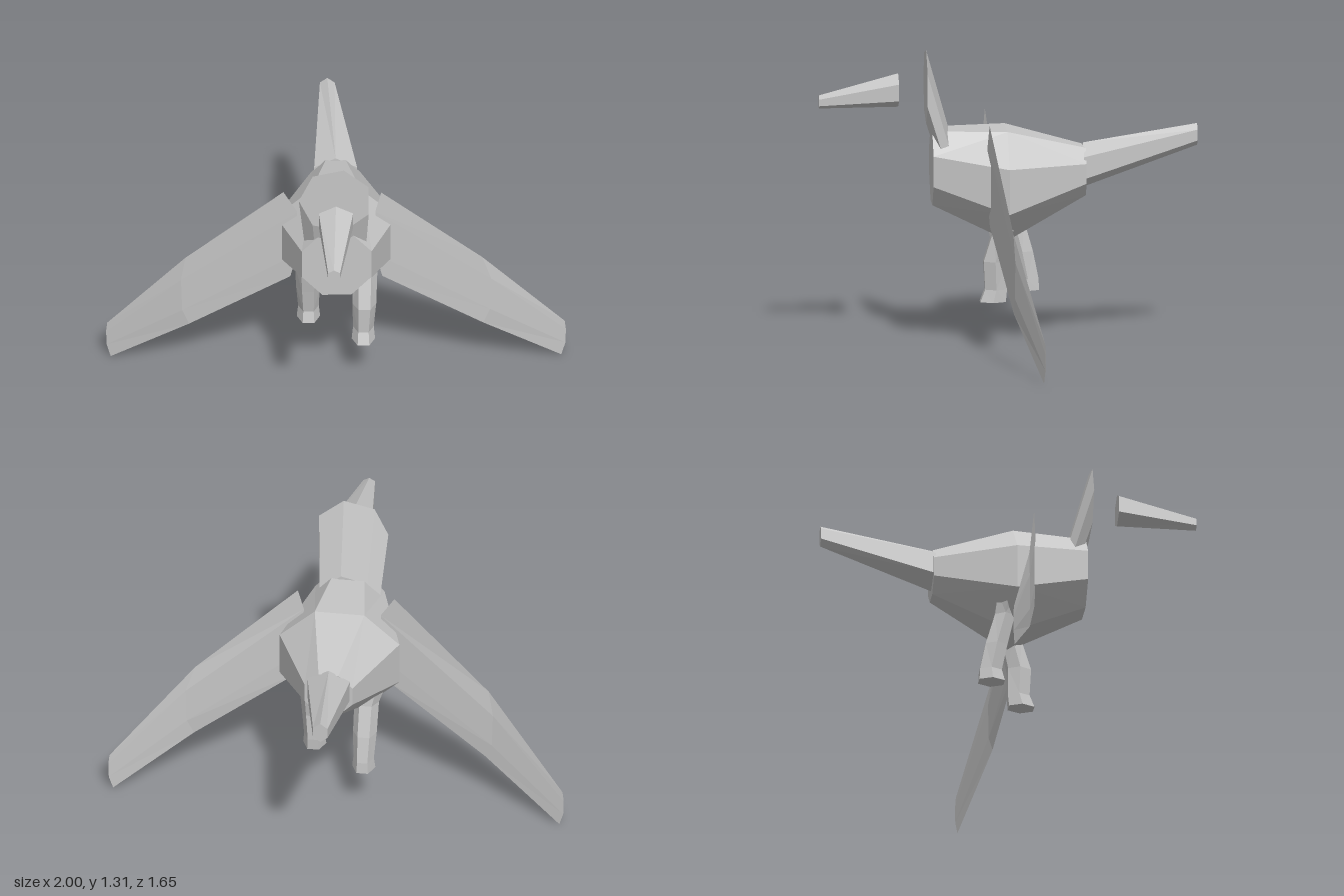
import * as THREE from 'three';

const grey = new THREE.MeshStandardMaterial({ color: 0xc6c6c6, flatShading: true });
grey.name = 'grey';

// Closed low-poly solid through a series of rings with equal point counts
function loft(name, rings) {
  const tris = [];
  const n = rings[0].length;
  for (let r = 0; r < rings.length - 1; r++) {
    for (let i = 0; i < n; i++) {
      const j = (i + 1) % n;
      const a = rings[r][i], b = rings[r][j], c = rings[r + 1][j], d = rings[r + 1][i];
      // Split along the shorter diagonal so that opposite faces of thin parts match
      if (a.distanceTo(c) < b.distanceTo(d)) tris.push([a, b, c], [a, c, d]);
      else tris.push([a, b, d], [b, c, d]);
    }
  }
  const first = rings[0], last = rings[rings.length - 1];
  for (let i = 1; i < n - 1; i++) {
    tris.push([first[0], first[i + 1], first[i]], [last[0], last[i], last[i + 1]]);
  }
  // Turn the faces outwards if the enclosed volume is negative
  const cross = new THREE.Vector3();
  const volume = tris.reduce((sum, [a, b, c]) => sum + a.dot(cross.crossVectors(b, c)), 0);
  const points = tris.flatMap(([a, b, c]) => (volume < 0 ? [a, c, b] : [a, b, c]));
  const geometry = new THREE.BufferGeometry().setFromPoints(points);
  geometry.computeVertexNormals();
  const mesh = new THREE.Mesh(geometry, grey);
  mesh.name = name;
  return mesh;
}

// Upright polygon ring at a given z; start is the angle of the first corner
function uprightRing(n, x, y, z, rx, ry, start) {
  return Array.from({ length: n }, (_, i) => {
    const a = start + (i / n) * Math.PI * 2;
    return new THREE.Vector3(x + rx * Math.cos(a), y + ry * Math.sin(a), z);
  });
}

// Level hexagon ring for the legs
function levelRing(x, y, z, rx, rz) {
  return Array.from({ length: 6 }, (_, i) => {
    const a = (i / 6) * Math.PI * 2;
    return new THREE.Vector3(x + rx * Math.cos(a), y, z + rz * Math.sin(a));
  });
}

// Thin wing section from its top, upper, lower and bottom points; the wing sweeps back with x
function wingRing(side, [top, upper, lower, bottom], thick) {
  const sweep = (x) => (x < 0.65 ? 0.093 - 0.173 * (x - 0.2) : 0.015 - 0.33 * (x - 0.65));
  const v = ([x, y], dz) => new THREE.Vector3(side * x, y, sweep(x) + dz);
  return [v(top, 0), v(upper, thick), v(lower, thick), v(bottom, 0), v(lower, -thick), v(upper, -thick)];
}

export function createModel() {
  const model = new THREE.Group();
  model.name = 'bird';

  // Octagonal body, widest in the middle (corner radius = half width / cos 22.5)
  const k = 1 / Math.cos(Math.PI / 8);
  const start = Math.PI / 8;
  model.add(loft('body', [
    uprightRing(8, 0, 0.79, 0.335, 0.152 * k, 0.163 * k, start),
    uprightRing(8, 0, 0.715, 0.01, 0.263 * k, 0.24 * k, start),
    uprightRing(8, 0, 0.765, -0.335, 0.105 * k, 0.105 * k, start),
  ]));

  // Seven-sided leaning head
  model.add(loft('head', [
    uprightRing(7, -0.005, 1.145, 0.36, 0.16, 0.166, Math.PI),
    uprightRing(7, 0, 0.83, 0.265, 0.137, 0.143, Math.PI),
  ]));

  // Beak, floating in front of the head
  model.add(loft('beak', [
    uprightRing(6, -0.015, 1.075, 0.825, 0.03, 0.029, Math.PI / 2),
    uprightRing(6, -0.004, 1.126, 0.48, 0.086, 0.074, Math.PI / 2),
  ]));

  // Tail
  model.add(loft('tail', [
    uprightRing(6, 0, 0.788, -0.325, 0.108, 0.098, Math.PI / 2),
    uprightRing(6, -0.033, 0.912, -0.825, 0.037, 0.048, Math.PI / 2),
  ]));

  // Legs, the left one stepping forward
  model.add(loft('leftLeg', [
    levelRing(0.135, 0.62, 0.02, 0.075, 0.05),
    levelRing(0.125, 0.53, 0.03, 0.054, 0.05),
    levelRing(0.122, 0.39, 0.066, 0.052, 0.058),
    levelRing(0.118, 0.265, 0.062, 0.045, 0.055),
    levelRing(0.118, 0.21, 0.075, 0.051, 0.064),
  ]));
  model.add(loft('rightLeg', [
    levelRing(-0.135, 0.62, -0.02, 0.075, 0.05),
    levelRing(-0.125, 0.53, -0.03, 0.054, 0.05),
    levelRing(-0.122, 0.39, -0.066, 0.052, 0.055),
    levelRing(-0.12, 0.27, -0.09, 0.045, 0.055),
    levelRing(-0.12, 0.218, -0.085, 0.051, 0.064),
  ]));

  // Thin wings drooping outwards and back
  const wing = (name, side, rootX, midX) => loft(name, [
    wingRing(side, [[rootX, 1.0], [0.17, 0.9], [0.17, 0.68], [0.2, 0.555]], 0.003),
    wingRing(side, [[midX, 0.6], [0.675, 0.48], [0.67, 0.32], [0.64, 0.25]], 0.005),
    wingRing(side, [[0.995, 0.175], [1.0, 0.13], [0.998, 0.06], [0.98, 0]], 0.001),
  ]);
  model.add(wing('leftWing', 1, 0.195, 0.635));
  model.add(wing('rightWing', -1, 0.23, 0.655));

  return model;
}
